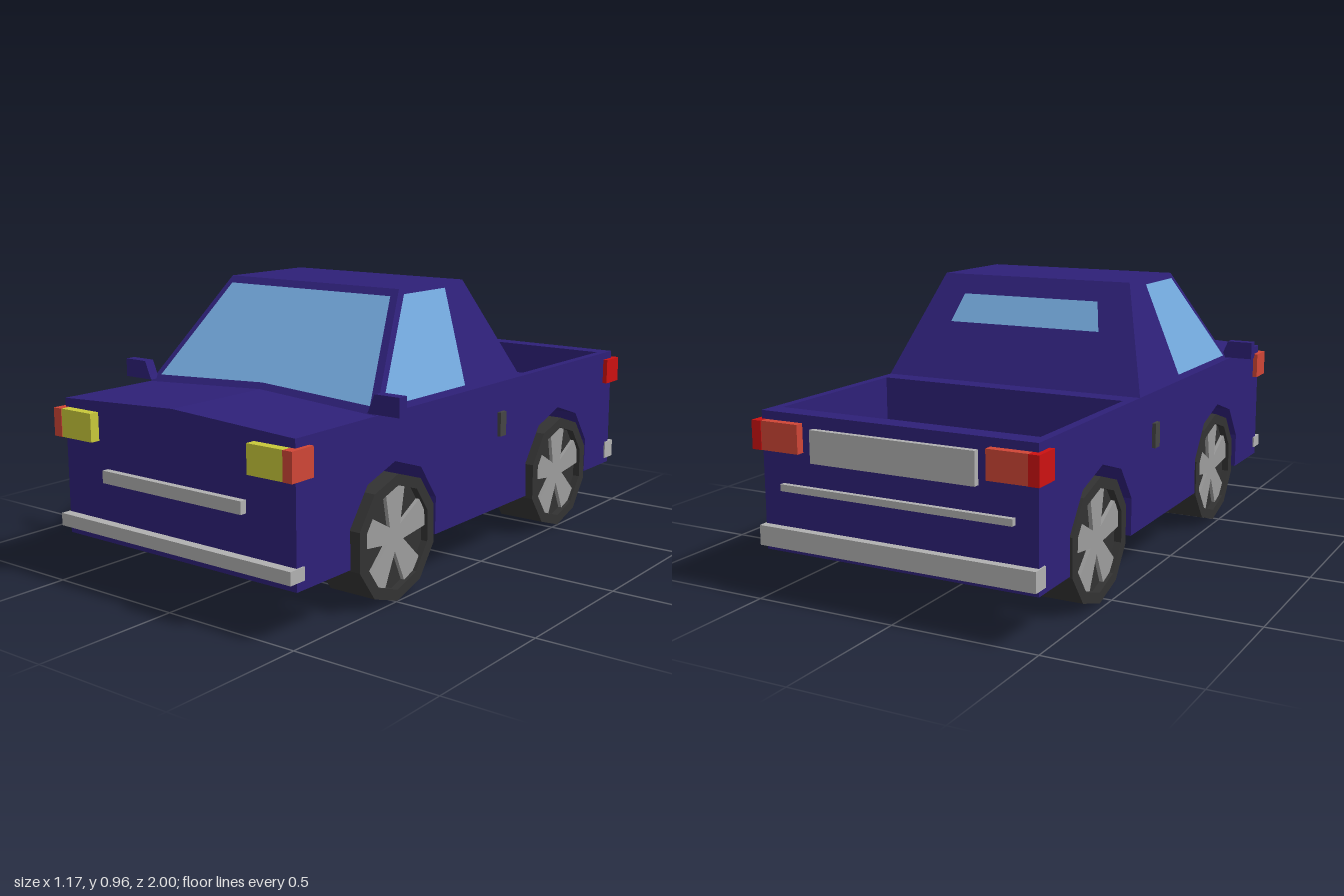
import * as THREE from 'three';

const mat = (color) => new THREE.MeshStandardMaterial({ color, flatShading: true, side: THREE.DoubleSide });
const paint = mat(0x2e2078), glass = mat(0x74aade), rubber = mat(0x333333), metal = mat(0xb0b0b0);
const rim = mat(0x9c9c9c), red = mat(0xcc1111), amber = mat(0xcf4536), yellow = mat(0xc8c83a), dark = mat(0x444444);

export function createModel() {
  const model = new THREE.Group();

  const add = (name, geometry, material, parent = model) => {
    const mesh = new THREE.Mesh(geometry, material);
    mesh.name = name;
    parent.add(mesh);
    return mesh;
  };
  // Box given by its limits on each axis
  const box = (name, material, [x0, x1], [y0, y1], [z0, z1]) => {
    const g = new THREE.BoxGeometry(x1 - x0, y1 - y0, z1 - z0);
    g.translate((x0 + x1) / 2, (y0 + y1) / 2, (z0 + z1) / 2);
    return add(name, g, material);
  };
  const polygon = (points) => new THREE.Shape(points.map(([x, y]) => new THREE.Vector2(x, y)));
  // Flat glass pane from corner points
  const pane = (name, corners) => {
    const g = new THREE.BufferGeometry().setFromPoints(corners.map((p) => new THREE.Vector3(...p)));
    const index = [];
    for (let i = 1; i < corners.length - 1; i++) index.push(0, i, i + 1);
    g.setIndex(index);
    g.computeVertexNormals();
    add(name, g, glass);
  };

  // Body: side profile slices, with or without the load bed and wheel arches
  const wheelZ = [0.49, -0.545];
  const bottom = 0.16, top = 0.61, bedFloor = 0.46;
  const slice = (name, x0, x1, hasBed, hasArches) => {
    const pts = [[-0.97, bottom], [-0.97, top]];
    if (hasBed) pts.push([-0.905, top], [-0.905, bedFloor], [-0.33, bedFloor], [-0.33, top]);
    pts.push([0.965, top], [0.965, bottom]);
    if (hasArches) {
      for (const z of wheelZ) {
        pts.push([z + 0.225, bottom]);
        for (let i = 2; i >= -2; i--) {
          const a = (i * Math.PI) / 5;
          pts.push([z + 0.24 * Math.sin(a), 0.212 + 0.24 * Math.cos(a)]);
        }
        pts.push([z - 0.225, bottom]);
      }
    }
    const g = new THREE.ExtrudeGeometry(polygon(pts), { depth: x1 - x0, bevelEnabled: false });
    g.rotateY(-Math.PI / 2).translate(x1, 0, 0);
    add(name, g, paint);
  };
  slice('bodyCore', -0.29, 0.29, true, false);
  for (const [a, b, bed, name] of [[0.29, 0.455, true, 'wheelWell'], [0.455, 0.485, false, 'bodySide']]) {
    slice(name + 'Left', a, b, bed, true);
    slice(name + 'Right', -b, -a, bed, true);
  }

  // Gently crowned bonnet
  const hood = new THREE.ExtrudeGeometry(
    polygon([[-0.485, 0.605], [0.485, 0.605], [0.485, 0.611], [0, 0.635], [-0.485, 0.611]]),
    { depth: 0.465, bevelEnabled: false });
  add('bonnet', hood.translate(0, 0, 0.5), paint);

  // Cab: a box narrowed towards the roof
  const cab = new THREE.BoxGeometry(2, 1, 1);
  const p = cab.attributes.position;
  for (let i = 0; i < p.count; i++) {
    const up = p.getY(i) > 0, front = p.getZ(i) > 0;
    p.setXYZ(i, p.getX(i) * (up ? 0.36 : 0.485), up ? 0.96 : top,
      up ? (front ? 0.3 : -0.07) : (front ? 0.59 : -0.26));
  }
  cab.computeVertexNormals();
  add('cab', cab, paint);

  // Windows lie just outside the sloping cab faces
  const frontZ = (y) => 0.594 - (y - top) * 0.829;
  const rearZ = (y) => -0.264 + (y - top) * 0.543;
  const sideX = (y) => 0.488 - (y - top) * 0.357;
  pane('windscreen', [[0, 0.655], [0.45, 0.635], [0.342, 0.938], [-0.342, 0.938], [-0.45, 0.635]]
    .map(([x, y]) => [x, y, frontZ(y)]));
  pane('rearWindow', [[0.288, 0.8], [-0.288, 0.8], [-0.26, 0.895], [0.26, 0.895]]
    .map(([x, y]) => [x, y, rearZ(y)]));

  // Parts found on both sides
  for (const s of [1, -1]) {
    const label = s > 0 ? 'Left' : 'Right';
    const sx = (a, b) => (s > 0 ? [a, b] : [-b, -a]);
    const win = [[0.55, 0.63], [0.09, 0.63], [0.05, 0.943], [0.285, 0.943]].map(([z, y]) => [s * sideX(y), y, z]);
    pane('sideWindow' + label, s > 0 ? win : win.reverse());

    const mirror = polygon([[0.465, 0.62], [0.585, 0.62], [0.585, 0.682], [0.492, 0.682], [0.472, 0.635]]
      .map(([x, y]) => [s * x, y]));
    add('mirror' + label, new THREE.ExtrudeGeometry(mirror, { depth: 0.037, bevelEnabled: false })
      .translate(0, 0, 0.57), paint);

    box('doorHandle' + label, dark, sx(0.48, 0.498), [0.42, 0.505], [-0.152, -0.115]);
    box('headlight' + label, yellow, sx(0.33, 0.467), [0.49, 0.583], [0.95, 0.998]);
    box('frontIndicator' + label, amber, sx(0.467, 0.502), [0.49, 0.583], [0.905, 1]);
    box('rearIndicator' + label, amber, sx(0.33, 0.467), [0.49, 0.583], [-0.998, -0.95]);
    box('tailLight' + label, red, sx(0.467, 0.502), [0.49, 0.583], [-1, -0.905]);
  }

  // Bumpers and trim
  box('frontBumper', metal, [-0.49, 0.49], [0.19, 0.232], [0.935, 0.998]);
  box('grille', metal, [-0.295, 0.295], [0.362, 0.403], [0.95, 0.988]);
  box('rearBumper', metal, [-0.49, 0.49], [0.18, 0.245], [-0.998, -0.937]);
  box('tailgateStrip', metal, [-0.41, 0.41], [0.363, 0.385], [-0.988, -0.95]);
  box('tailgatePanel', metal, [-0.29, 0.29], [0.465, 0.57], [-0.99, -0.95]);

  // Ten-sided wheels with a recessed face and five tapered spokes
  const r = 0.207, w = 0.087, dish = 0.17;
  const tyre = new THREE.LatheGeometry(
    [[0, -w], [r, -w], [r, w], [dish, w], [dish, w - 0.025], [0, w - 0.025]].map(([x, y]) => new THREE.Vector2(x, y)), 10);
  tyre.rotateZ(-Math.PI / 2).rotateX(Math.PI / 2);
  const spoke = new THREE.ExtrudeGeometry(
    polygon([[-0.02, 0], [0.02, 0], [0.05, 0.155], [0, 0.168], [-0.05, 0.155]]), { depth: 0.015, bevelEnabled: false });
  spoke.rotateY(Math.PI / 2).translate(w - 0.027, 0, 0);
  for (const z of wheelZ) {
    for (const s of [1, -1]) {
      const wheel = new THREE.Group();
      wheel.name = (z > 0 ? 'front' : 'rear') + 'Wheel' + (s > 0 ? 'Left' : 'Right');
      add('tyre', tyre, rubber, wheel);
      for (let i = 0; i < 5; i++) add('spoke', spoke, rim, wheel).rotation.x = (i * Math.PI * 2) / 5;
      wheel.position.set(s > 0 ? 0.411 : -0.392, r, z);
      if (s < 0) wheel.rotation.y = Math.PI;
      model.add(wheel);
    }
  }
  return model;
}
